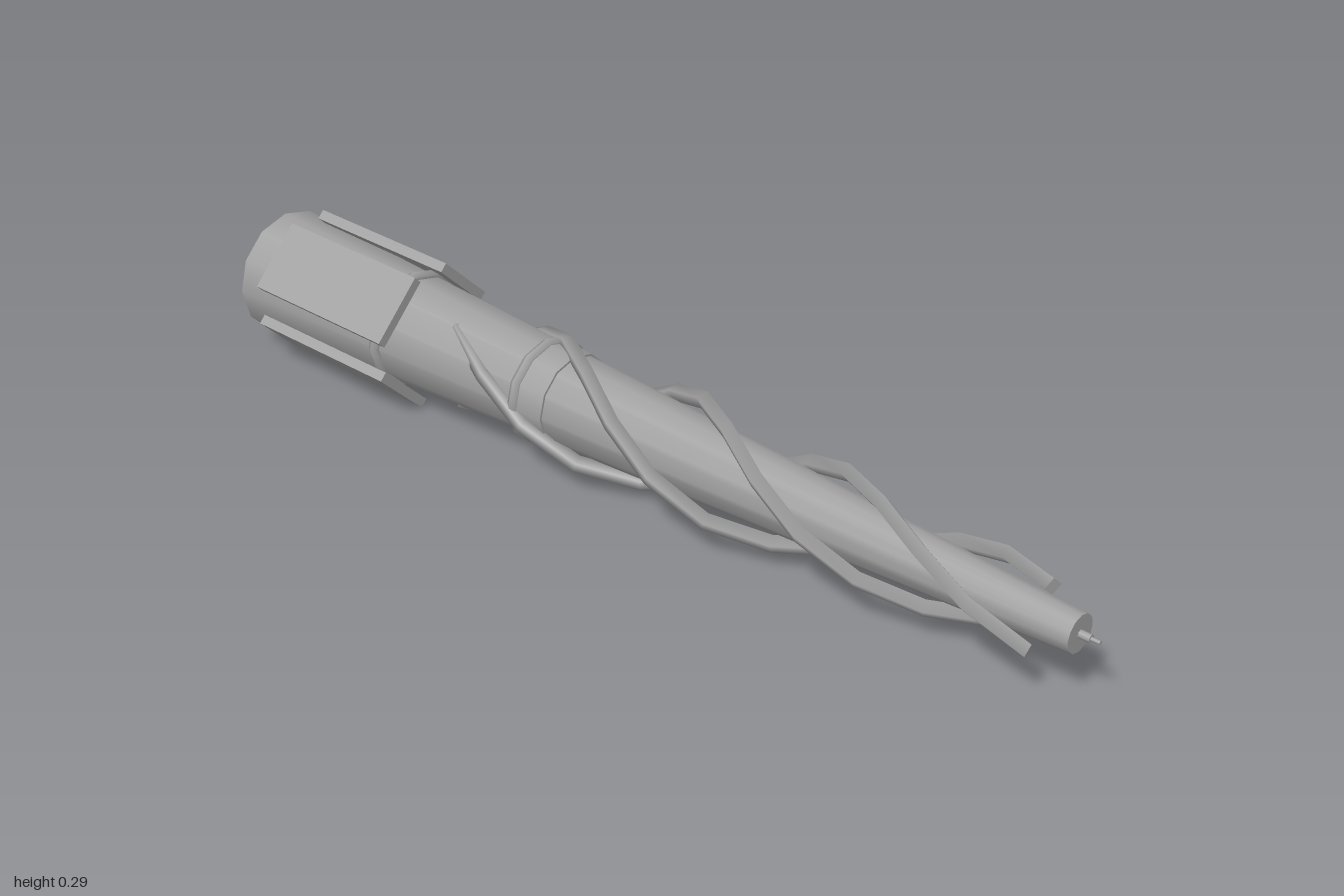
import * as THREE from 'three';

const grey = new THREE.MeshStandardMaterial({ color: 0xa0a0a0, side: THREE.DoubleSide });
grey.name = 'grey';

// Spiral around the z axis: one and a quarter turns from tip to grip
const Z0 = 0.9, Z1 = -0.45, TURNS = 1.25;
const RADII = [[0, 0.067], [0.26, 0.081], [0.52, 0.102], [0.79, 0.107], [1, 0.092]];

function strandRadius(t) {
  for (let i = 1; i < RADII.length; i++) {
    const [t0, r0] = RADII[i - 1], [t1, r1] = RADII[i];
    if (t <= t1) return r0 + (r1 - r0) * (t - t0) / (t1 - t0);
  }
  return RADII[RADII.length - 1][1];
}

class Spiral extends THREE.Curve {
  constructor(start) {
    super();
    this.start = start;
  }
  getPoint(t, target = new THREE.Vector3()) {
    const a = this.start + t * TURNS * Math.PI * 2, r = strandRadius(t);
    return target.set(Math.sin(a) * r, Math.cos(a) * r, Z0 + (Z1 - Z0) * t);
  }
}

export function createModel() {
  const group = new THREE.Group();
  group.name = 'spiralWand';
  const wand = new THREE.Group();
  wand.name = 'wand';
  wand.position.y = 0.15;
  group.add(wand);

  const add = (name, geometry, parent = wand) => {
    const mesh = new THREE.Mesh(geometry, grey);
    mesh.name = name;
    parent.add(mesh);
    return mesh;
  };

  // Cylinder lying along z, from zBack to zFront
  const rod = (name, rFront, rBack, zFront, zBack, sides = 12) => {
    const g = new THREE.CylinderGeometry(rFront, rBack, zFront - zBack, sides);
    g.rotateX(Math.PI / 2);
    g.translate(0, 0, (zFront + zBack) / 2);
    return add(name, g);
  };

  // Tapered shaft and stepped needle at the tip
  rod('shaft', 0.037, 0.13, 0.96, -1);
  rod('needleBase', 0.008, 0.008, 0.982, 0.96, 8);
  rod('needle', 0.004, 0.004, 1, 0.98, 8);

  // Collar and rings
  rod('collar', 0.096, 0.099, -0.185, -0.245);
  for (const [name, r, z] of [['collarRing', 0.097, -0.255], ['gripRing', 0.113, -0.62]])
    add(name, new THREE.TorusGeometry(r, 0.012, 6, 12)).position.z = z;

  // Four flat grip plates
  for (let i = 0; i < 4; i++) {
    const g = new THREE.BoxGeometry(0.147, 0.02, 0.36);
    g.translate(0, 0.123, -0.75);
    g.rotateZ(Math.PI / 4 + i * Math.PI / 2);
    add('gripPlate', g);
  }

  // Three square strands with closed ends
  for (let i = 0; i < 3; i++) {
    const strand = new THREE.Group();
    strand.name = 'spiralStrand';
    wand.add(strand);
    const tube = new THREE.TubeGeometry(new Spiral(i * Math.PI * 2 / 3), 12, 0.017, 4, false);
    add('strandTube', tube, strand);
    const p = tube.attributes.position;
    const flip = { front: [0, 1, 2, 0, 2, 3], back: [0, 2, 1, 0, 3, 2] };
    for (const [end, first] of [['front', 0], ['back', p.count - 5]]) {
      const pts = [0, 1, 2, 3].map(k => new THREE.Vector3().fromBufferAttribute(p, first + k));
      const n = pts[1].clone().sub(pts[0]).cross(pts[2].clone().sub(pts[0]));
      const cap = new THREE.BufferGeometry().setFromPoints(pts);
      cap.setIndex((n.z > 0) === (end === 'front') ? flip.front : flip.back);
      cap.computeVertexNormals();
      add('strandEnd', cap, strand);
    }
  }
  return group;
}
